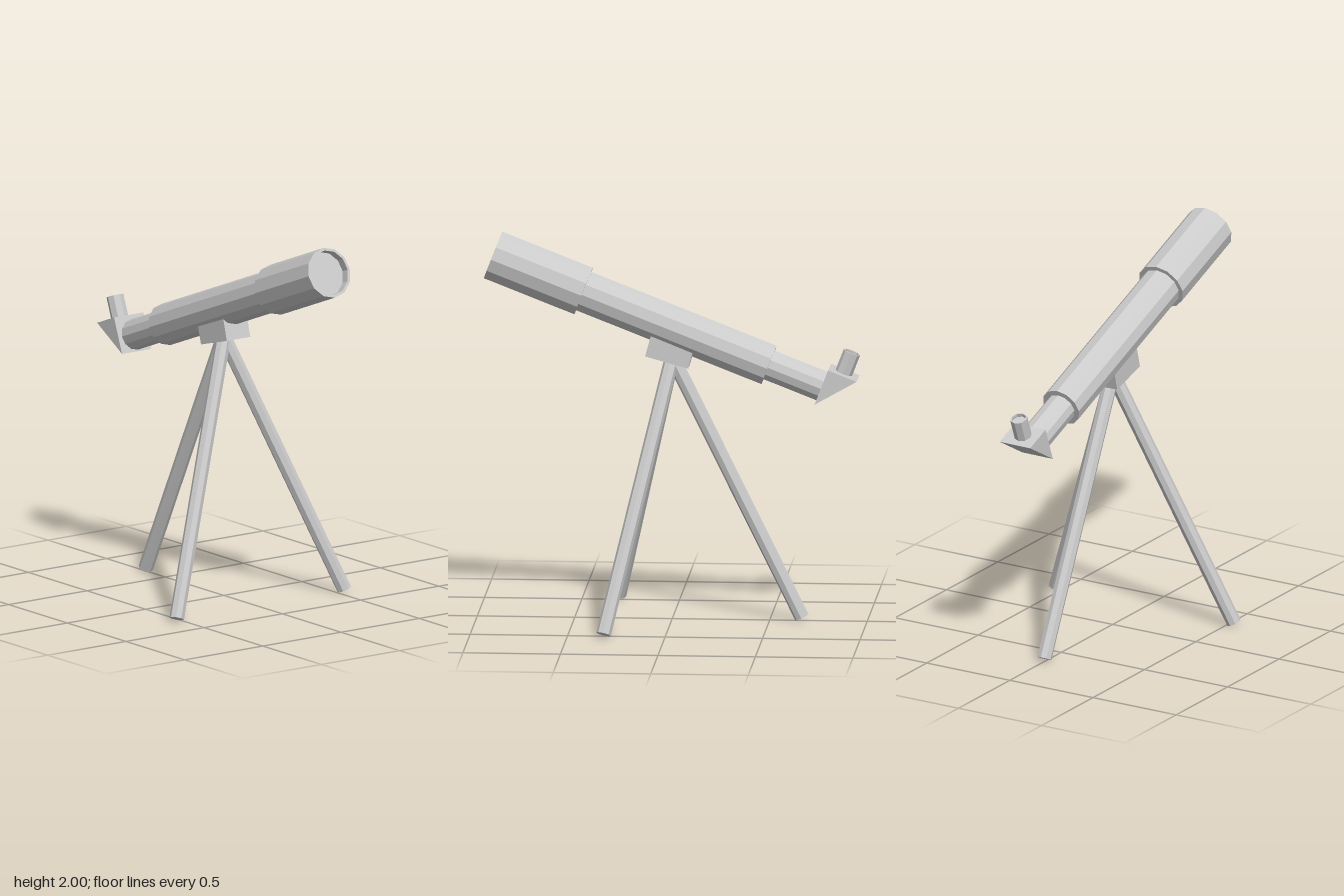
import * as THREE from 'three';

const material = new THREE.MeshStandardMaterial({ color: 0xcccccc, flatShading: true });

function addMesh(parent, name, geometry) {
  const mesh = new THREE.Mesh(geometry, material);
  mesh.name = name;
  parent.add(mesh);
  return mesh;
}

// Faceted turned part along +y from [radius, height] pairs
function turned(points, sides) {
  return new THREE.LatheGeometry(points.map(([r, y]) => new THREE.Vector2(r, y)), sides);
}

// Straight leg between two points
function addLeg(parent, name, from, to, radius) {
  const dir = to.clone().sub(from);
  const leg = addMesh(parent, name, new THREE.CylinderGeometry(radius, radius, dir.length(), 8));
  leg.position.copy(from).add(to).multiplyScalar(0.5);
  leg.quaternion.setFromUnitVectors(new THREE.Vector3(0, 1, 0), dir.normalize());
}

export function createModel() {
  const model = new THREE.Group();
  model.name = 'telescope';

  // Tripod
  const tripod = new THREE.Group();
  tripod.name = 'tripod';
  model.add(tripod);
  const apex = new THREE.Vector3(0, 1.365, 0);
  addLeg(tripod, 'rearLeg', new THREE.Vector3(0, 0.018, -0.665), apex, 0.038);
  for (const [side, name] of [[1, 'leftLeg'], [-1, 'rightLeg']]) {
    addLeg(tripod, name, new THREE.Vector3(side * 0.535, 0.018, 0.313), apex, 0.038);
  }

  // Mounting block under the tube
  const block = addMesh(model, 'mountBlock', new THREE.BoxGeometry(0.15, 0.15, 0.229));
  block.position.set(-0.006, 1.42, 0.004);
  block.rotation.x = -0.27;

  // Optical assembly: local +z points along the tube to the front
  const optics = new THREE.Group();
  optics.name = 'opticalTube';
  optics.position.set(-0.0035, 1.523, 0);
  optics.rotation.set(-0.37, -0.0125, 0, 'YXZ');
  model.add(optics);

  const tubes = {
    // Front hood with the lens set back inside its rim
    lensHood: [[0, 0.488], [0.131, 0.488], [0.131, 0.987], [0.117, 0.987], [0.117, 0.94], [0, 0.94]],
    mainTube: [[0, -0.533], [0.108, -0.533], [0.108, 0.5], [0, 0.5]],
    focuserTube: [[0, -0.83], [0.08, -0.83], [0.08, -0.5], [0, -0.5]],
  };
  for (const [name, profile] of Object.entries(tubes)) {
    addMesh(optics, name, turned(profile, 12).rotateX(Math.PI / 2));
  }

  // Triangular mirror housing at the back
  const triangle = new THREE.Shape([[-0.825, -0.088], [-0.825, 0.104], [-0.982, 0.104]]
    .map(([s, u]) => new THREE.Vector2(s, u)));
  const prism = new THREE.ExtrudeGeometry(triangle, { depth: 0.185, bevelEnabled: false });
  prism.translate(0, 0, -0.0925).rotateY(-Math.PI / 2);
  addMesh(optics, 'mirrorHousing', prism).position.x = -0.01;

  // Eyepiece with a shallow cup at the top
  const eyepiece = addMesh(optics, 'eyepiece', turned(
    [[0, 0], [0.045, 0], [0.045, 0.13], [0.037, 0.13], [0.037, 0.112], [0, 0.112]], 8));
  eyepiece.position.set(-0.013, 0.09, -0.903);

  return model;
}
